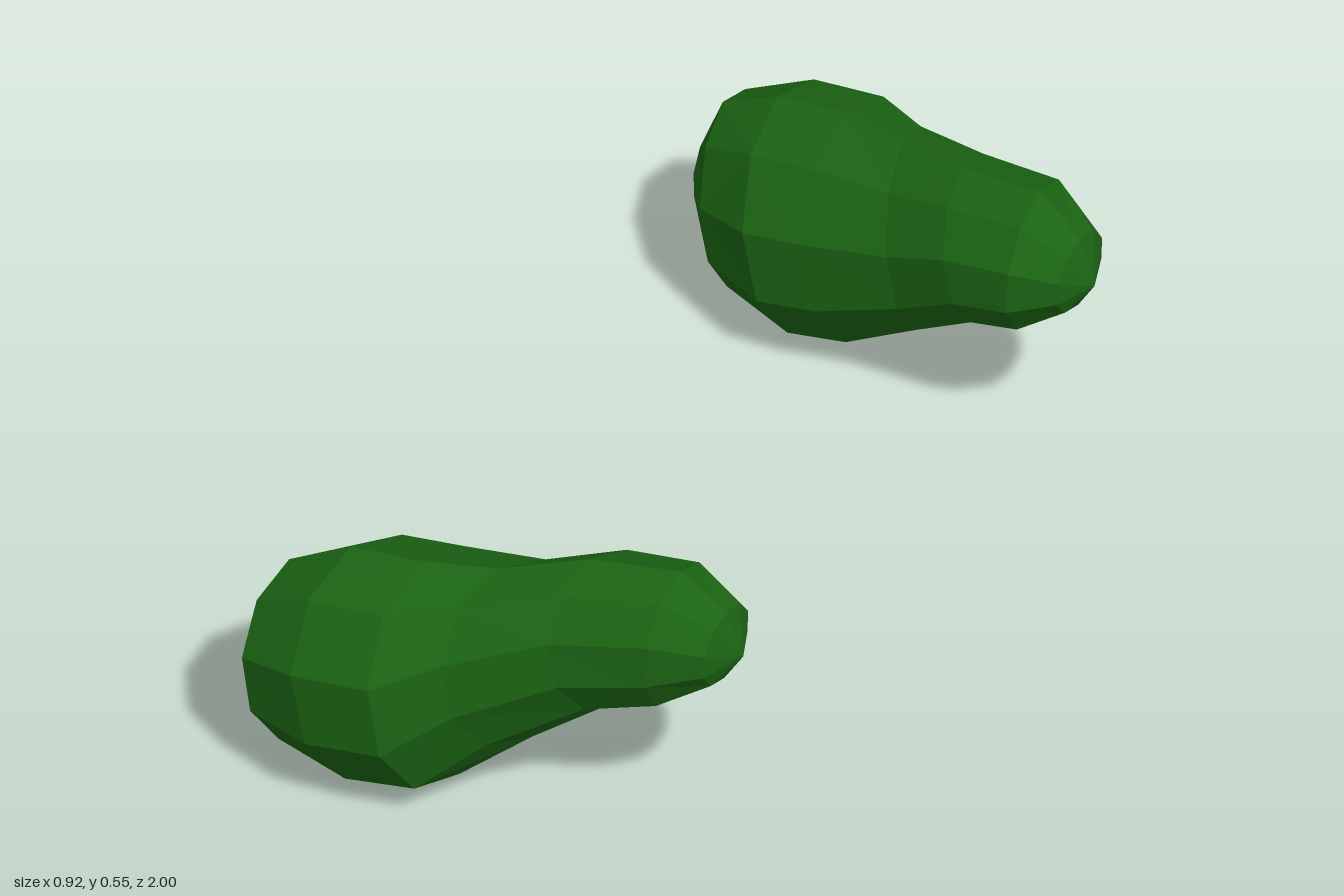
import * as THREE from 'three';

const SIDES = 10;

// Shared side profile: [top x, top y, bottom x, bottom y] from bulb tip to neck tip
const PROFILE = [
  [-0.46, 0.21, -0.46, 0.21],
  [-0.45, 0.30, -0.445, 0.13],
  [-0.41, 0.39, -0.355, 0.025],
  [-0.285, 0.46, -0.19, 0.0],
  [-0.14, 0.48, -0.06, 0.03],
  [0.0, 0.487, 0.07, 0.135],
  [0.16, 0.53, 0.22, 0.235],
  [0.335, 0.553, 0.325, 0.268],
  [0.43, 0.495, 0.425, 0.345],
  [0.463, 0.405, 0.463, 0.405],
];

// Plan of each gourd: [inner z, outer z, x slant from inner to outer edge]
const FRONT_PLAN = [
  [0.83, 0.83, 0], [0.75, 0.89, 0], [0.64, 0.95, -0.03], [0.58, 1.0, -0.04],
  [0.58, 1.0, -0.02], [0.578, 0.92, -0.05], [0.547, 0.84, -0.03], [0.555, 0.795, 0],
  [0.59, 0.755, 0], [0.67, 0.67, 0],
];
const BACK_PLAN = [
  [0.84, 0.84, 0], [0.77, 0.91, 0], [0.655, 0.965, -0.02], [0.583, 1.0, -0.01],
  [0.575, 0.99, 0], [0.57, 0.91, -0.04], [0.537, 0.825, -0.02], [0.525, 0.79, -0.01],
  [0.555, 0.72, 0], [0.63, 0.63, 0],
];

// Faceted loft through slanted elliptical rings; side = +1 front, -1 back
function gourdGeometry(plan, side) {
  const reach = Math.sin(Math.PI * 0.4); // widest sine on a ten-sided ring
  const rings = PROFILE.map(([tx, ty, bx, by], i) => {
    const [inner, outer, slant] = plan[i];
    const ring = [];
    for (let j = 0; j < SIDES; j++) {
      const a = (j / SIDES) * Math.PI * 2;
      const c = Math.cos(a), s = Math.sin(a) / reach;
      ring.push([
        (tx + bx) / 2 + ((tx - bx) / 2) * c + slant * s,
        (ty + by) / 2 + ((ty - by) / 2) * c,
        side * ((inner + outer) / 2 + ((outer - inner) / 2) * s),
      ]);
    }
    return ring;
  });

  const positions = [];
  const tri = (a, b, c) => positions.push(...a, ...(side > 0 ? b : c), ...(side > 0 ? c : b));
  const last = rings.length - 2;
  for (let i = 0; i <= last; i++) {
    for (let j = 0; j < SIDES; j++) {
      const k = (j + 1) % SIDES;
      const a = rings[i][j], b = rings[i][k], c = rings[i + 1][j], d = rings[i + 1][k];
      if (i === 0) tri(a, d, c);           // bulb tip fan
      else if (i === last) tri(a, b, c);   // neck tip fan
      else if ((i + j) % 2) { tri(a, b, c); tri(b, d, c); }
      else { tri(a, b, d); tri(a, d, c); }
    }
  }
  const geometry = new THREE.BufferGeometry();
  geometry.setAttribute('position', new THREE.Float32BufferAttribute(positions, 3));
  geometry.computeVertexNormals();
  return geometry;
}

export function createModel() {
  const model = new THREE.Group();
  model.name = 'gourdPair';
  const green = new THREE.MeshStandardMaterial({ color: 0x1b6413, flatShading: true });

  const front = new THREE.Mesh(gourdGeometry(FRONT_PLAN, 1), green);
  front.name = 'frontGourd';
  const back = new THREE.Mesh(gourdGeometry(BACK_PLAN, -1), green);
  back.name = 'backGourd';
  model.add(front, back);
  return model;
}
